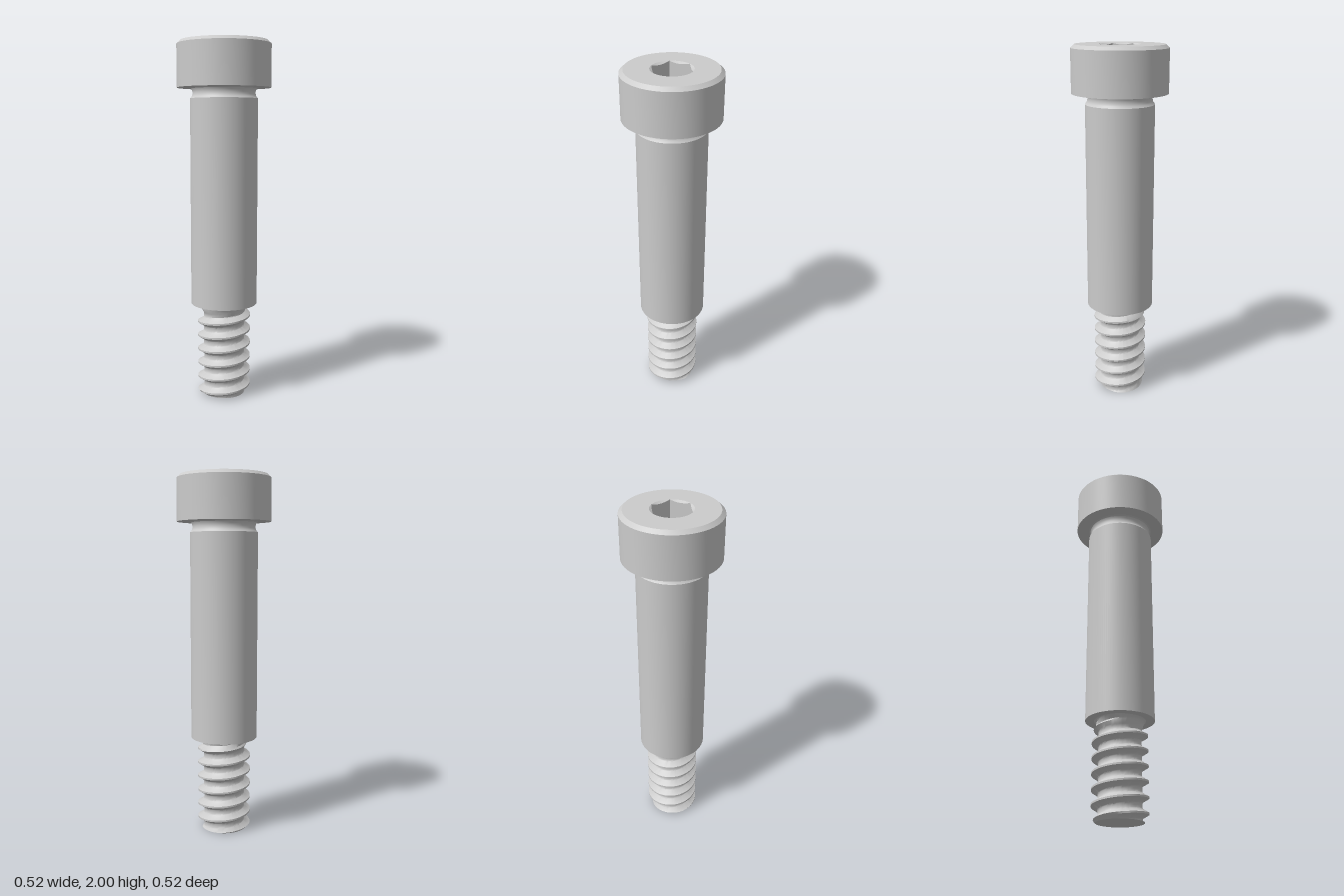
import * as THREE from 'three';
import { toCreasedNormals } from 'three/addons/utils/BufferGeometryUtils.js';

const COLS = 96;
const material = new THREE.MeshStandardMaterial({ color: 0xcccccc });

function part(name, geometry, crease = 0.5) {
  const mesh = new THREE.Mesh(toCreasedNormals(geometry, crease), material);
  mesh.name = name;
  return mesh;
}

// Surface of rings around the y axis; point(row, angle) returns [radius, y].
function ringSurface(rows, point) {
  const pos = [], idx = [], w = COLS + 1;
  for (let i = 0; i < rows; i++) {
    for (let j = 0; j <= COLS; j++) {
      const a = (j / COLS) * Math.PI * 2;
      const [r, y] = point(i, a);
      pos.push(r * Math.cos(a), y, -r * Math.sin(a));
      if (i < rows - 1 && j < COLS) {
        const k = i * w + j;
        idx.push(k, k + 1, k + w + 1, k, k + w + 1, k + w);
      }
    }
  }
  const g = new THREE.BufferGeometry();
  g.setAttribute('position', new THREE.Float32BufferAttribute(pos, 3));
  g.setIndex(idx);
  return g;
}

function lathe(points) {
  return new THREE.LatheGeometry(points.map(([r, y]) => new THREE.Vector2(r, y)), COLS);
}

// Right-handed thread whose rows follow the helix, clipped to the shank length.
function threadGeometry() {
  const pitch = 0.0815, top = 0.535, crestY = 0.394, root = 0.115, major = 0.15;
  const stops = [-0.5, -0.36, -0.3, -0.06, 0.06, 0.3, 0.36];
  const depth = [0, 0, 0.08, 1, 1, 0.08, 0];
  const turns = 10, first = -7;
  const smooth = THREE.MathUtils.smoothstep;
  return ringSurface(turns * stops.length, (i, a) => {
    const s = i % stops.length, turn = first + Math.floor(i / stops.length);
    const raw = crestY + pitch * (turn + stops[s] + a / (2 * Math.PI));
    const y = THREE.MathUtils.clamp(raw, 0, top);
    // profile depth at the clipped height
    let u = (y - crestY) / pitch - a / (2 * Math.PI);
    u = Math.abs(u - Math.round(u));
    let d = 0;
    for (let k = 4; k < stops.length; k++) {
      const u0 = k === 4 ? 0 : stops[k - 1], d0 = k === 4 ? 1 : depth[k - 1];
      const from = k === 5 ? 0.06 : u0;
      if (u >= from && u <= stops[k]) {
        d = d0 + (depth[k] - d0) * (u - from) / (stops[k] - from);
        break;
      }
    }
    const fade = 1 - smooth(y, 0.47, 0.515);
    const neck = root + 0.008 * smooth(y, 0.47, 0.51) + 0.017 * Math.pow(Math.max(0, (y - 0.505) / 0.03), 2);
    return [Math.min(neck + (major - root) * d * fade, 0.127 + y), y];
  });
}

// Hexagonal socket: conical lead-in, six walls, drilled conical floor.
function socketGeometry() {
  const flat = 0.0955, corner = flat / Math.cos(Math.PI / 6), slope = 0.6;
  const floorY = 1.86, tip = 0.015, sector = Math.PI / 3;
  return ringSurface(5, (i, a) => {
    const hex = flat / Math.cos((a % sector) - sector / 2);
    const drop = (r) => (corner - r) * slope;
    return [
      [corner, 2],
      [hex, 2 - drop(hex)],
      [hex, floorY - drop(hex)],
      [tip, floorY - drop(tip)],
      [0, floorY - drop(tip)],
    ][i];
  });
}

export function createModel() {
  const group = new THREE.Group();
  group.name = 'shoulderScrew';

  group.add(part('threadEnd', lathe([[0, 0], [0.127, 0]])));
  group.add(part('thread', threadGeometry(), 0.6));

  // Smooth shoulder with its lower face
  group.add(part('shoulder', lathe([[0.12, 0.535], [0.1875, 0.535], [0.1875, 1.69]])));

  // Undercut below the head
  group.add(part('undercut', lathe([
    [0.1875, 1.69], [0.179, 1.7], [0.175, 1.71], [0.174, 1.722],
    [0.176, 1.734], [0.181, 1.743], [0.189, 1.748],
  ])));

  // Cap head with chamfered rim
  group.add(part('head', lathe([
    [0.174, 1.748], [0.26, 1.748], [0.26, 1.982], [0.24, 2], [0.1103, 2],
  ])));
  group.add(part('hexSocket', socketGeometry()));

  return group;
}
